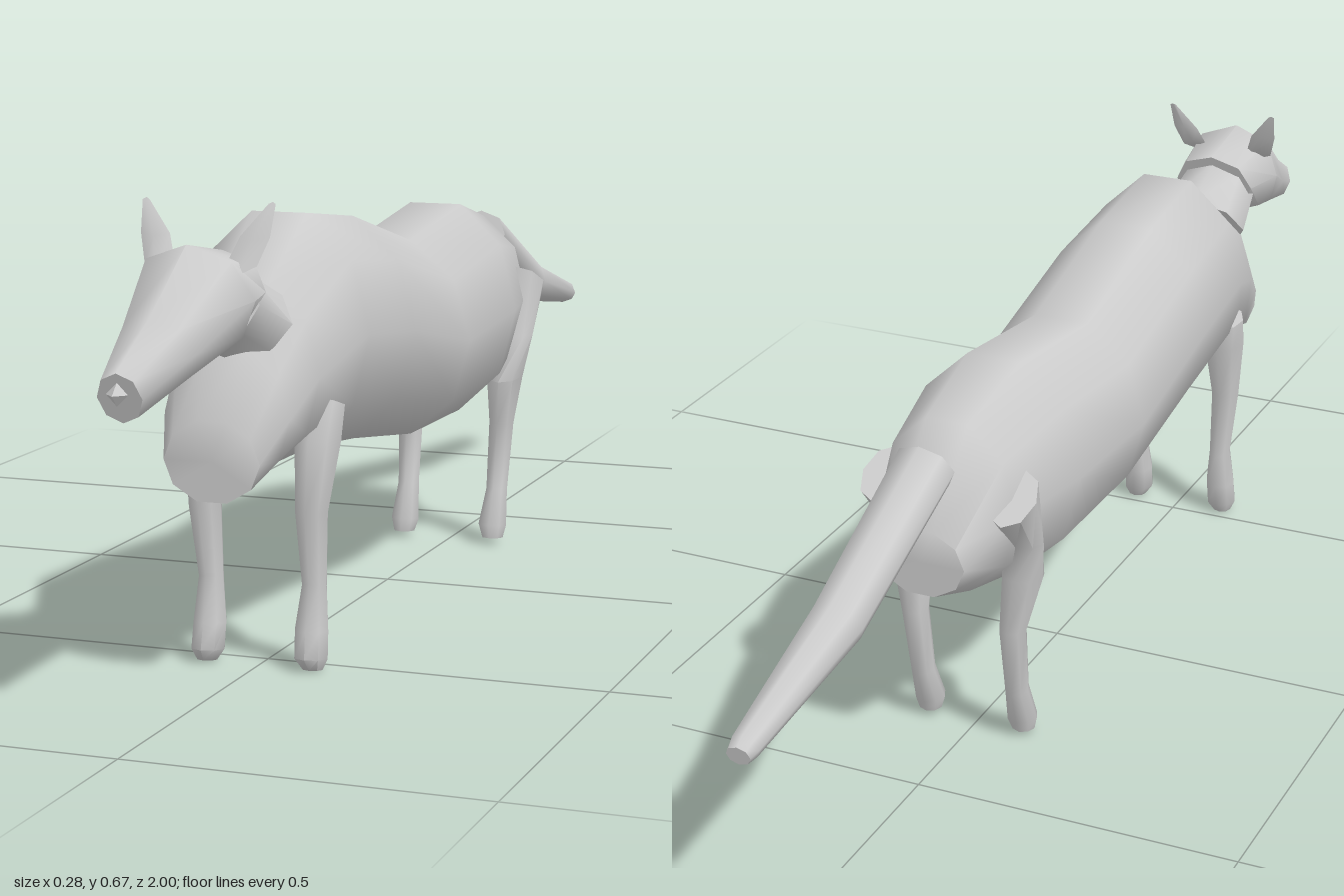
import * as THREE from 'three';
import { toCreasedNormals } from 'three/addons/utils/BufferGeometryUtils.js';

const material = new THREE.MeshStandardMaterial({ color: 0xcccccc });

// Skin over elliptical rings. Each ring: [z1, y1, z2, y2, halfWidth, x], where
// (z1, y1) and (z2, y2) are its two ends in profile and x is its centre.
function loft(name, rings, sides, side = 1) {
  const pos = [], index = [];
  let peak = 0;
  for (let j = 0; j < sides; j++) peak = Math.max(peak, Math.sin(j / sides * Math.PI * 2));
  const centres = rings.map(([z1, y1, z2, y2, , x = 0]) => [x * side, (y1 + y2) / 2, (z1 + z2) / 2]);
  rings.forEach(([z1, y1, z2, y2, rx], i) => {
    const [cx, cy, cz] = centres[i];
    for (let j = 0; j < sides; j++) {
      const a = j / sides * Math.PI * 2, s = Math.sin(a) / peak / 2;
      pos.push(cx + Math.cos(a) * rx, cy + s * (y1 - y2), cz + s * (z1 - z2));
    }
  });
  const last = rings.length - 1, c0 = rings.length * sides;
  pos.push(...centres[0], ...centres[last]);
  for (let j = 0; j < sides; j++) {
    const k = (j + 1) % sides;
    for (let i = 0; i < last; i++) {
      const a = i * sides + j, b = i * sides + k;
      index.push(a, b, b + sides, a, b + sides, a + sides);
    }
    index.push(c0, k, j, c0 + 1, last * sides + j, last * sides + k);
  }
  const g = new THREE.BufferGeometry();
  g.setAttribute('position', new THREE.Float32BufferAttribute(pos, 3));
  g.setIndex(index);
  const mesh = new THREE.Mesh(toCreasedNormals(g, 1.0), material);
  mesh.name = name;
  return mesh;
}

export function createModel() {
  const group = new THREE.Group();
  group.name = 'animal';

  // Trunk, from rump to chest
  group.add(loft('body', [
    [-0.48, 0.41, -0.48, 0.308, 0.07],
    [-0.385, 0.54, -0.385, 0.275, 0.108],
    [-0.228, 0.576, -0.228, 0.238, 0.138],
    [0.015, 0.545, 0.015, 0.242, 0.14],
    [0.27, 0.61, 0.27, 0.281, 0.14],
    [0.448, 0.633, 0.448, 0.3, 0.135],
    [0.57, 0.55, 0.57, 0.297, 0.108],
    [0.64, 0.47, 0.64, 0.283, 0.092],
    [0.695, 0.378, 0.695, 0.268, 0.07],
  ], 10));

  // Neck, head and nose
  group.add(loft('neck', [
    [0.57, 0.55, 0.63, 0.45, 0.08],
    [0.66, 0.59, 0.705, 0.482, 0.066],
  ], 8));
  group.add(loft('head', [
    [0.65, 0.603, 0.68, 0.5, 0.068],
    [0.77, 0.624, 0.72, 0.478, 0.086],
    [0.89, 0.543, 0.84, 0.453, 0.056],
    [0.988, 0.49, 0.967, 0.424, 0.031],
  ], 8));
  const nose = new THREE.Mesh(new THREE.OctahedronGeometry(0.015), material);
  nose.name = 'nose';
  nose.position.set(0, 0.463, 0.985);
  group.add(nose);

  // Tail, from tip to root
  group.add(loft('tail', [
    [-1, 0.342, -0.995, 0.314, 0.018],
    [-0.985, 0.352, -0.975, 0.313, 0.022],
    [-0.743, 0.42, -0.71, 0.351, 0.04],
    [-0.474, 0.538, -0.442, 0.464, 0.047],
  ], 8));

  for (const [side, label] of [[1, 'left'], [-1, 'right']]) {
    // Thin pointed ears leaning back
    group.add(loft(label + 'Ear', [
      [0.71, 0.605, 0.74, 0.582, 0.022, 0.058],
      [0.7, 0.633, 0.717, 0.627, 0.021, 0.071],
      [0.693, 0.675, 0.697, 0.67, 0.005, 0.09],
    ], 4, side));

    // Front legs, from shoulder to paw
    group.add(loft(label + 'FrontLeg', [
      [0.53, 0.388, 0.48, 0.365, 0.034, 0.085],
      [0.555, 0.33, 0.475, 0.325, 0.034, 0.083],
      [0.56, 0.228, 0.507, 0.228, 0.024, 0.08],
      [0.54, 0.125, 0.498, 0.115, 0.018, 0.078],
      [0.553, 0.06, 0.503, 0.055, 0.025, 0.077],
      [0.56, 0.022, 0.507, 0.018, 0.025, 0.078],
      [0.547, 0.004, 0.518, 0.002, 0.015, 0.08],
    ], 8, side));

    // Hind legs, from hip to paw
    group.add(loft(label + 'HindLeg', [
      [-0.34, 0.463, -0.426, 0.41, 0.036, 0.102],
      [-0.32, 0.35, -0.367, 0.35, 0.034, 0.098],
      [-0.287, 0.276, -0.362, 0.29, 0.031, 0.09],
      [-0.318, 0.2, -0.362, 0.2, 0.021, 0.08],
      [-0.303, 0.094, -0.342, 0.085, 0.018, 0.078],
      [-0.28, 0.035, -0.325, 0.03, 0.024, 0.077],
      [-0.282, 0.013, -0.318, 0.011, 0.018, 0.078],
    ], 8, side));
  }
  return group;
}
